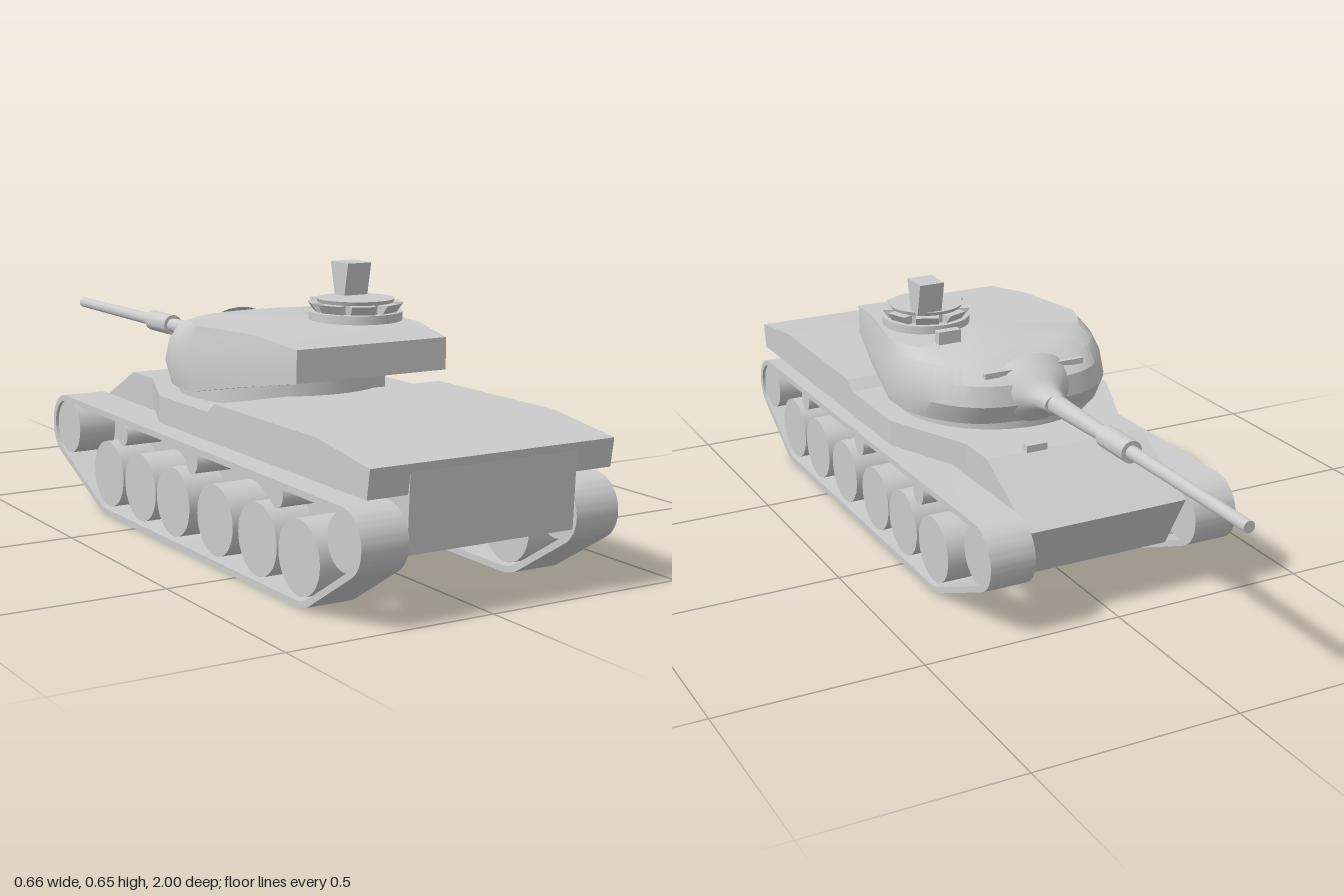
import * as THREE from 'three';
import { toCreasedNormals } from 'three/addons/utils/BufferGeometryUtils.js';

const material = new THREE.MeshStandardMaterial({ color: 0xcccccc, side: THREE.DoubleSide });

function add(parent, name, geometry, x = 0, y = 0, z = 0) {
  const mesh = new THREE.Mesh(geometry, material);
  mesh.name = name;
  mesh.position.set(x, y, z);
  parent.add(mesh);
  return mesh;
}

// Extrudes a side profile, drawn as (z, y), from x0 to x1
function extrudeX(shape, x0, x1) {
  const s = Array.isArray(shape) ? new THREE.Shape(shape.map(p => new THREE.Vector2(...p))) : shape;
  const g = new THREE.ExtrudeGeometry(s, { depth: x1 - x0, bevelEnabled: false, curveSegments: 14 });
  return g.rotateY(-Math.PI / 2).translate(x1, 0, 0);
}

// Belt outline around circles [z, y, r], listed counter-clockwise
function beltPath(circles, inset, PathType) {
  const n = circles.length;
  const tangent = i => {
    const [z0, y0, r0] = circles[i], [z1, y1, r1] = circles[(i + 1) % n];
    const d = Math.hypot(z1 - z0, y1 - y0);
    return Math.atan2(y1 - y0, z1 - z0) - Math.acos((r0 - r1) / d);
  };
  const path = new PathType();
  circles.forEach(([z, y, r], i) => path.absarc(z, y, r - inset, tangent((i + n - 1) % n), tangent(i), false));
  return path;
}

// Closed loft through rings of equal point count, listed bottom to top
function loft(rings, bottom, top) {
  const n = rings[0].length, pos = [], idx = [];
  rings.flat().forEach(p => pos.push(...p));
  const b = rings.length * n, t = b + 1;
  pos.push(...bottom, ...top);
  for (let i = 0; i < n; i++) {
    const j = (i + 1) % n, last = (rings.length - 1) * n;
    for (let k = 0; k < rings.length - 1; k++) {
      const a = k * n + i, c = k * n + j;
      idx.push(a, c, c + n, a, c + n, a + n);
    }
    idx.push(b, j, i, t, last + i, last + j);
  }
  const g = new THREE.BufferGeometry();
  g.setAttribute('position', new THREE.Float32BufferAttribute(pos, 3));
  g.setIndex(idx);
  return toCreasedNormals(g, 0.5);
}

// Turret ring: two straight rear corners, then a smooth curve round the front
function turretRing(half) {
  const mirror = ([x, y, z]) => [-x, y, z];
  const corners = half.slice(0, 2), curve = half.slice(2);
  const all = [...curve, ...curve.slice(0, -1).reverse().map(mirror)];
  const spline = new THREE.CatmullRomCurve3(all.map(p => new THREE.Vector3(...p)));
  return [...corners, ...spline.getPoints(36).map(p => p.toArray()), ...corners.slice().reverse().map(mirror)];
}

// Lathe along the gun axis from [radius, distance forward] points
function latheForward(points, segments = 24) {
  const g = new THREE.LatheGeometry(points.map(p => new THREE.Vector2(...p)), segments);
  return toCreasedNormals(g.rotateX(-Math.PI / 2), 0.5);
}

function buildHull(root) {
  const hull = new THREE.Group();
  hull.name = 'hull';
  root.add(hull);
  add(hull, 'lowerHull', extrudeX([[0.99, 0.15], [0.8, 0.09], [-0.36, 0.09], [-0.445, 0.235],
    [-0.24, 0.345], [0.35, 0.345], [0.37, 0.367], [0.8, 0.367], [0.998, 0.34]], -0.212, 0.212));
  add(hull, 'upperHull', extrudeX([[0.99, 0.275], [0.1, 0.28], [0.1, 0.345], [0.34, 0.345],
    [0.37, 0.368], [0.8, 0.368], [1, 0.34]], -0.31, 0.31));
  // Side shelves narrowing towards the nose
  const plan = new THREE.Shape([[-0.31, -0.1], [0.31, -0.1], [0.212, 0.13], [-0.212, 0.13]]
    .map(p => new THREE.Vector2(...p)));
  const shelf = new THREE.ExtrudeGeometry(plan, { depth: 0.065, bevelEnabled: false });
  add(hull, 'taperedShelf', shelf.rotateX(-Math.PI / 2), 0, 0.28, 0);
  add(hull, 'driverPeriscope', new THREE.BoxGeometry(0.055, 0.02, 0.018), 0.08, 0.35, -0.235);
}

function buildRunningGear(root, side) {
  const gear = new THREE.Group();
  gear.name = side > 0 ? 'leftRunningGear' : 'rightRunningGear';
  root.add(gear);
  const span = (a, b) => (side > 0 ? [a, b] : [-b, -a]);
  const circles = [[0.925, 0.177, 0.075], [-0.405, 0.187, 0.082], [-0.164, 0.105, 0.105], [0.753, 0.105, 0.105]];
  const belt = beltPath(circles, 0, THREE.Shape);
  belt.holes.push(beltPath(circles, 0.015, THREE.Path));
  add(gear, 'track', toCreasedNormals(extrudeX(belt, ...span(0.214, 0.328)), 0.5));

  const wheel = (name, z, y, r, width) => {
    const g = new THREE.CylinderGeometry(r, r, width, 32).rotateZ(Math.PI / 2);
    add(gear, name, g, side * 0.27, y, z);
  };
  for (const z of [0.753, 0.58, 0.389, 0.185, 0.013, -0.164]) wheel('roadWheel', z, 0.105, 0.083, 0.1);
  for (const z of [0.66, 0.28, -0.083]) wheel('returnRoller', z, 0.22, 0.028, 0.1);
  wheel('rearWheel', 0.925, 0.177, 0.062, 0.1);
  wheel('frontWheel', -0.405, 0.187, 0.07, 0.1);
}

function buildTurret(root) {
  const turret = new THREE.Group();
  turret.name = 'turret';
  root.add(turret);
  const rings = [
    [[0.2, 0.43, 0.545], [0.24, 0.4, 0.37], [0.272, 0.365, 0.19], [0.262, 0.365, 0.08],
      [0.215, 0.365, -0.01], [0.15, 0.365, -0.07], [0.08, 0.365, -0.092], [0, 0.365, -0.1]],
    [[0.2, 0.455, 0.545], [0.241, 0.43, 0.37], [0.278, 0.415, 0.19], [0.27, 0.415, 0.07],
      [0.223, 0.415, -0.03], [0.155, 0.415, -0.095], [0.08, 0.415, -0.118], [0, 0.415, -0.125]],
    [[0.2, 0.505, 0.545], [0.235, 0.48, 0.37], [0.271, 0.465, 0.19], [0.262, 0.465, 0.07],
      [0.213, 0.465, -0.025], [0.148, 0.465, -0.085], [0.08, 0.465, -0.107], [0, 0.465, -0.113]],
    [[0.207, 0.51, 0.5], [0.233, 0.505, 0.37], [0.265, 0.5, 0.19], [0.25, 0.5, 0.085],
      [0.2, 0.5, 0], [0.14, 0.5, -0.045], [0.07, 0.5, -0.06], [0, 0.5, -0.065]],
    [[0.225, 0.522, 0.4], [0.235, 0.522, 0.34], [0.262, 0.522, 0.2], [0.235, 0.522, 0.12],
      [0.185, 0.522, 0.06], [0.13, 0.522, 0.03], [0.065, 0.522, 0.015], [0, 0.522, 0.01]],
  ].map(turretRing);
  add(turret, 'turretShell', loft(rings, [0, 0.36, 0.2], [0, 0.524, 0.2]));
  add(turret, 'turretBase', new THREE.CylinderGeometry(0.25, 0.25, 0.065, 48), 0, 0.372, 0.15);
  add(turret, 'visionSlot', new THREE.BoxGeometry(0.27, 0.014, 0.014), 0, 0.487, -0.075);
  add(turret, 'roofPeriscope', new THREE.BoxGeometry(0.06, 0.04, 0.024), 0.145, 0.535, 0.105);

  // Flared mantlet and gun
  add(turret, 'mantlet', latheForward([[0.12, 0.06], [0.092, 0.105], [0.06, 0.127], [0.042, 0.15],
    [0.034, 0.172], [0.032, 0.192], [0, 0.192]]), 0, 0.43, 0).scale.y = 0.75;
  add(turret, 'gunBarrel', latheForward([[0.025, 0.17], [0.018, 0.43], [0.016, 0.54], [0.014, 1], [0, 1]]), 0, 0.43, 0);
  add(turret, 'barrelSleeve', latheForward([[0, 0.425], [0.027, 0.425], [0.027, 0.54], [0, 0.54]]), 0, 0.43, 0);

  // Commander's cupola with a ring of periscopes and a raised sight
  const cupola = new THREE.Group();
  cupola.name = 'cupola';
  cupola.position.set(0.12, 0, 0.288);
  turret.add(cupola);
  add(cupola, 'cupolaBase', new THREE.CylinderGeometry(0.112, 0.112, 0.028, 40), 0, 0.529, 0);
  add(cupola, 'cupolaCore', new THREE.CylinderGeometry(0.088, 0.088, 0.03, 40), 0, 0.552, 0);
  add(cupola, 'cupolaLid', new THREE.CylinderGeometry(0.094, 0.09, 0.009, 40), 0, 0.569, 0);
  for (let i = 0; i < 8; i++) {
    const g = extrudeX([[0.08, 0.542], [0.096, 0.542], [0.111, 0.564], [0.08, 0.564]], -0.029, 0.029);
    add(cupola, 'cupolaPeriscope', g).rotation.y = (i + 0.5) * Math.PI / 4;
  }
  add(cupola, 'cupolaSight', extrudeX([[-0.043, 0.57], [-0.085, 0.57], [-0.104, 0.652], [-0.027, 0.652]], -0.004, 0.062));
}

export function createModel() {
  const root = new THREE.Group();
  root.name = 'tank';
  buildHull(root);
  for (const side of [1, -1]) buildRunningGear(root, side);
  buildTurret(root);
  return root;
}
